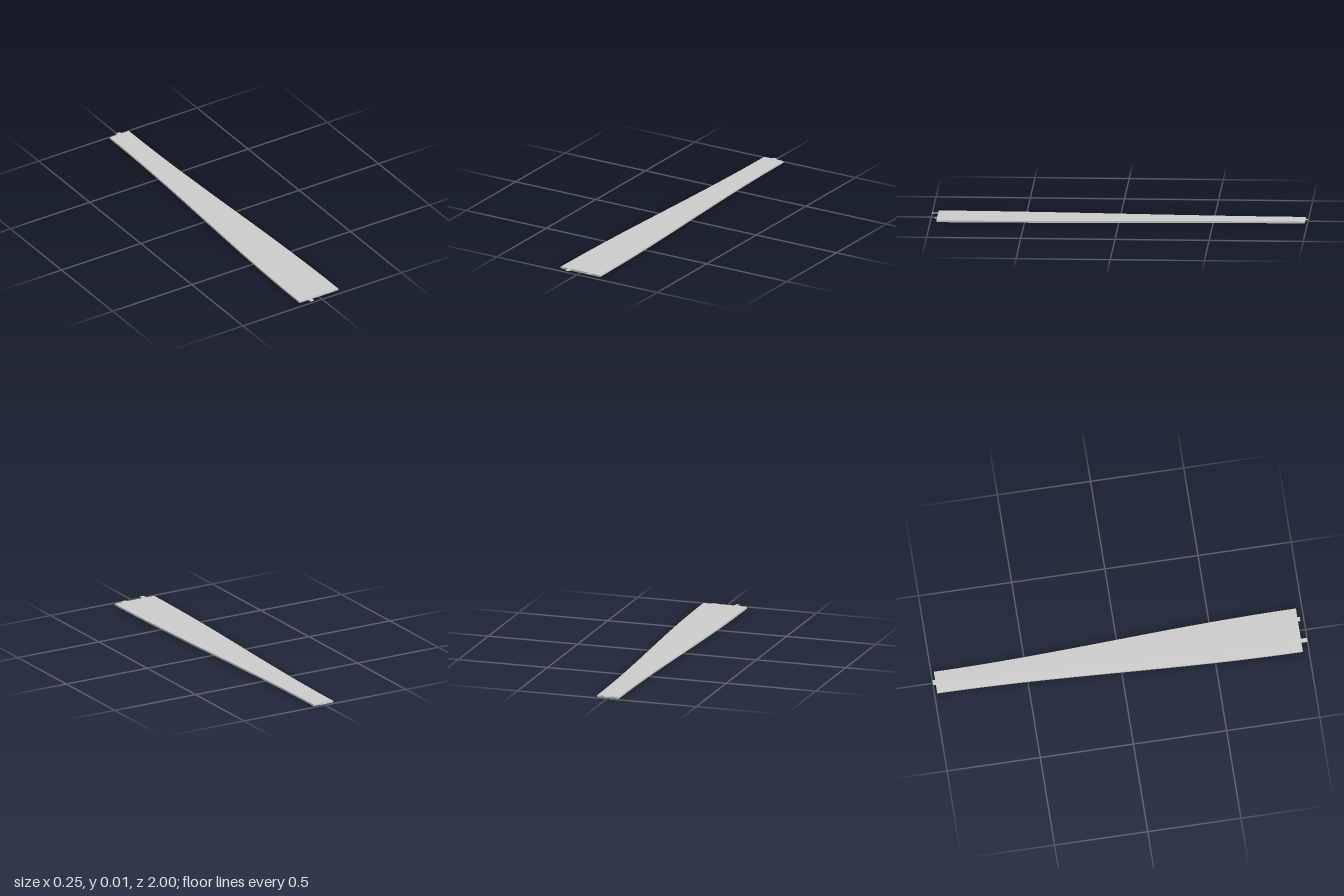
import * as THREE from 'three';

const BACK = -0.985, FRONT = 0.967;

// Half-width along the length: a gentle S-curve from the narrow back to the wide front
const halfWidth = (t) => 0.0915 - 0.031 * Math.cos(Math.PI * t);

export function createModel() {
  const group = new THREE.Group();
  const material = new THREE.MeshStandardMaterial({ color: 0xcccccc });
  const thin = new THREE.MeshStandardMaterial({ color: 0xcccccc, side: THREE.DoubleSide });

  // Tapered plate with a very slight crown on its upper face
  const geometry = new THREE.BoxGeometry(2, 1, 1, 8, 1, 40);
  const p = geometry.attributes.position;
  for (let i = 0; i < p.count; i++) {
    const u = p.getX(i), t = p.getZ(i) + 0.5;
    const y = p.getY(i) > 0 ? 0.0097 + 0.0012 * (1 - u * u) : 0;
    p.setXYZ(i, u * halfWidth(t), y, BACK + t * (FRONT - BACK));
  }
  geometry.computeVertexNormals();
  const plate = new THREE.Mesh(geometry, material);
  plate.name = 'taperedPlate';
  group.add(plate);

  // Paper-thin tabs at the two ends
  const addTab = (name, x, width, z0, z1) => {
    const tab = new THREE.Mesh(new THREE.PlaneGeometry(width, z1 - z0).rotateX(-Math.PI / 2), thin);
    tab.position.set(x, 0.0096, (z0 + z1) / 2);
    tab.name = name;
    group.add(tab);
  };
  addTab('backTab', 0, 0.028, -1, BACK);
  addTab('frontRightTab', -0.062, 0.024, FRONT, 1);
  addTab('frontLeftTab', 0.06, 0.024, FRONT, 0.98);

  return group;
}
